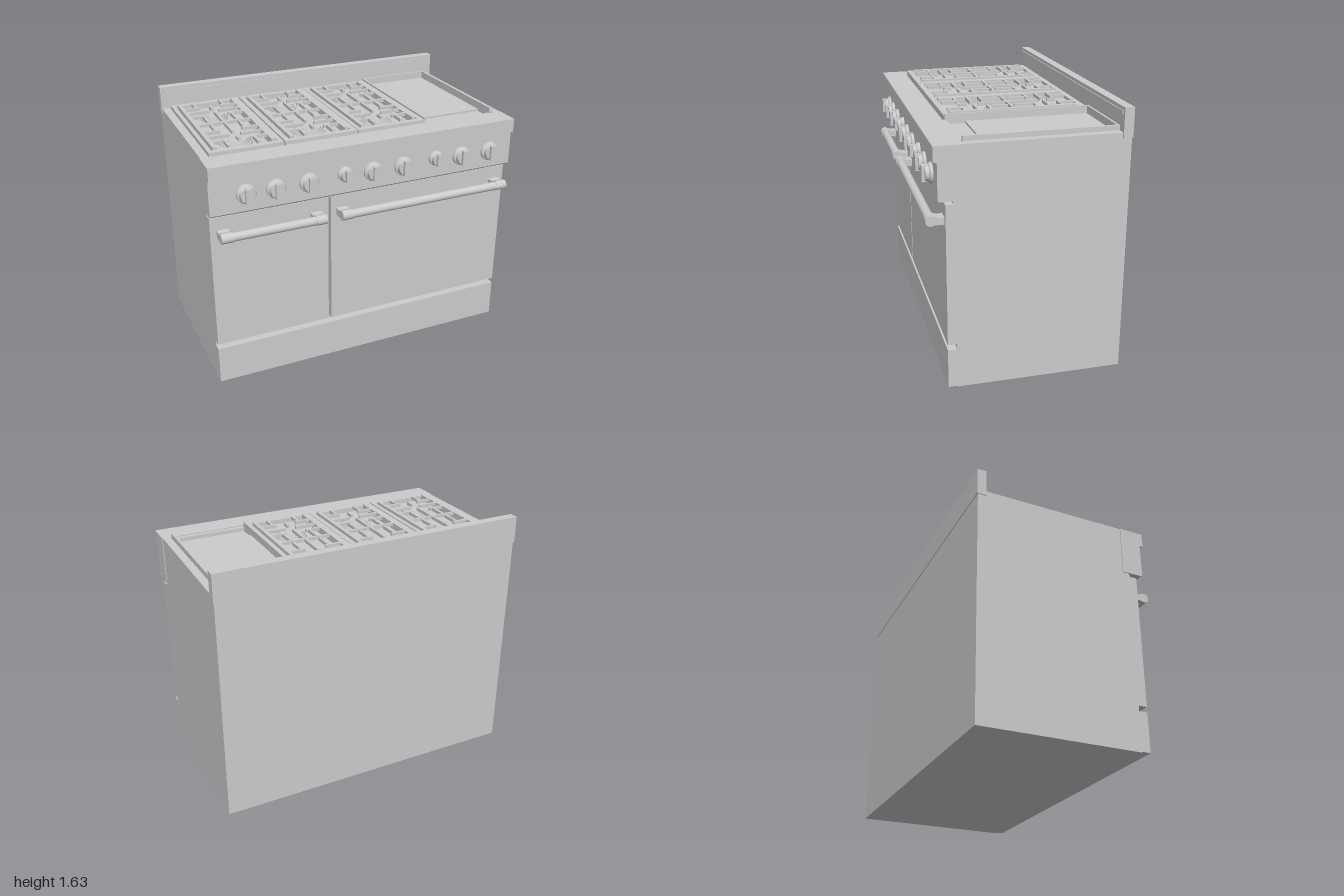
import * as THREE from 'three';

export function createModel() {
  const root = new THREE.Group();
  const mat = new THREE.MeshStandardMaterial({ color: 0xcccccc });

  const add = (name, geo, parent = root) => {
    const m = new THREE.Mesh(geo, mat);
    m.name = name;
    parent.add(m);
    return m;
  };
  // Box given by its minimum and maximum on each axis
  const box = (name, x0, x1, y0, y1, z0, z1, parent = root) => {
    const m = add(name, new THREE.BoxGeometry(x1 - x0, y1 - y0, z1 - z0), parent);
    m.position.set((x0 + x1) / 2, (y0 + y1) / 2, (z0 + z1) / 2);
    return m;
  };
  // Profile in (z, y), extruded along x
  const extrudeX = (name, pts, x0, x1, parent = root) => {
    const s = new THREE.Shape(pts.map(([z, y]) => new THREE.Vector2(-z, y)));
    const m = add(name, new THREE.ExtrudeGeometry(s, { depth: x1 - x0, bevelEnabled: false }), parent);
    m.rotation.y = Math.PI / 2;
    m.position.x = x0;
    return m;
  };
  // Flat rectangular ring lying in xz
  const ring = (name, o, i, y0, y1, parent = root) => {
    const rect = (C, [x0, x1, z0, z1]) => new C([[x0, -z0], [x1, -z0], [x1, -z1], [x0, -z1]]
      .map(p => new THREE.Vector2(...p)));
    const s = rect(THREE.Shape, o);
    s.holes.push(rect(THREE.Path, i));
    const m = add(name, new THREE.ExtrudeGeometry(s, { depth: y1 - y0, bevelEnabled: false }), parent);
    m.rotation.x = -Math.PI / 2;
    m.position.y = y0;
    return m;
  };

  // Cabinet, base rim and top edges
  box('cabinet', -0.995, 0.995, 0.012, 1.455, -0.585, 0.43);
  ring('baseRim', [-0.995, 0.995, -0.585, 0.43], [-0.95, 0.95, -0.55, 0.4], 0, 0.012);
  box('topEdgeRight', -0.995, -0.945, 1.455, 1.487, -0.53, 0.39);
  box('topEdgeLeft', 0.945, 0.995, 1.455, 1.487, -0.53, 0.39);

  // Backguard with a raised strip along the top
  box('backguard', -1, 1, 1.455, 1.63, -0.59, -0.532);
  box('backguardStrip', -0.98, 0.98, 1.588, 1.608, -0.532, -0.526);

  // Control panel with overhanging lip
  extrudeX('controlPanel', [[0.39, 1.17], [0.39, 1.487], [0.55, 1.487], [0.55, 1.4],
    [0.528, 1.39], [0.528, 1.18], [0.518, 1.17]], -1, 1);

  // Vent slots under the control panel
  box('ventStrip', -0.99, 0.99, 1.152, 1.17, 0.42, 0.442);
  for (let i = 0; i <= 56; i++) {
    const x = -0.86 + i * 0.03;
    box('ventFin', x, x + 0.015, 1.154, 1.17, 0.44, 0.5);
  }

  // Knobs: the two small ones are timers
  const knob = (x, r) => {
    const g = new THREE.Group();
    g.name = 'knob';
    const profile = [[0, 0], [r, 0], [r, 0.014], [r * 0.86, 0.02], [r * 0.8, 0.022],
      [r * 0.74, 0.042], [0, 0.042]].map(p => new THREE.Vector2(...p));
    // Each profile segment is lathed apart to keep its edges sharp
    for (let i = 1; i < profile.length - 1; i++)
      add('knobBody', new THREE.LatheGeometry([profile[i], profile[i + 1]], 32), g).rotation.x = Math.PI / 2;
    box('knobGrip', -r * 0.3, r * 0.3, -r * 0.78, r * 0.78, 0.03, 0.06, g);
    g.position.set(x, r < 0.05 ? 1.305 : 1.29, 0.528);
    root.add(g);
  };
  [-0.78, -0.6, -0.395, -0.165, 0.02, 0.225, 0.45, 0.635, 0.84]
    .forEach((x, i) => knob(x, i === 3 || i === 6 ? 0.047 : 0.06));

  // Doors and kick panel
  box('doorRight', -0.995, -0.254, 0.285, 1.148, 0.43, 0.485);
  box('doorLeft', -0.236, 0.995, 0.285, 1.148, 0.43, 0.485);
  box('kickPanel', -0.995, 0.995, 0.005, 0.25, 0.43, 0.485);

  // Door handles: round bar held in a bracket at each end
  const handle = (x0, x1) => {
    const g = new THREE.Group();
    g.name = 'doorHandle';
    const bar = add('handleBar', new THREE.CylinderGeometry(0.027, 0.027, x1 - x0, 24), g);
    bar.rotation.z = Math.PI / 2;
    bar.position.set((x0 + x1) / 2, 1.047, 0.56);
    const pts = [[0.48, 1.018], [0.48, 1.068], [0.515, 1.063]];
    for (let i = 0; i <= 10; i++) {
      const a = 2.2 - i * 0.44;
      pts.push([0.56 + 0.031 * Math.cos(a), 1.047 + 0.031 * Math.sin(a)]);
    }
    pts.push([0.515, 1.023]);
    extrudeX('handleBracket', pts, x0, x0 + 0.07, g);
    extrudeX('handleBracket', pts, x1 - 0.07, x1, g);
    root.add(g);
  };
  handle(-0.955, -0.3);
  handle(-0.2, 0.96);

  // Burner: stepped base and a domed cap
  const burner = (x, z, r) => {
    const g = new THREE.Group();
    g.name = 'burner';
    [[r, 0.012, 0], [r * 0.88, 0.012, 0.012], [r * 0.78, 0.01, 0.024]].forEach(([rad, h, y]) => {
      add('burnerStep', new THREE.CylinderGeometry(rad * 0.97, rad, h, 36), g).position.y = y + h / 2;
    });
    g.position.set(x, 1.456, z);
    root.add(g);
  };

  // Grate tray: rim, sunken floor, two burners and cast bars
  const tray = (x0, x1, cx) => {
    ring('trayRim', [x0, x1, -0.525, 0.375], [cx - 0.2, cx + 0.2, -0.49, 0.34], 1.455, 1.504);
    burner(cx, -0.305, 0.09);
    burner(cx, 0.15, 0.105);
    const g = new THREE.Group();
    g.name = 'grate';
    g.position.x = cx;
    root.add(g);
    const t = 0.008;
    const alongX = (z, a, b) => box('grateBar', a, b, 1.495, 1.516, z - t, z + t, g);
    const alongZ = (x, a, b) => box('grateBar', x - t, x + t, 1.495, 1.516, a, b, g);
    for (const s of [-1, 1]) {
      const out = s * 0.19, mid = s * 0.09;
      box('grateSide', Math.min(out, out - s * 0.025), Math.max(out, out - s * 0.025), 1.475, 1.516, -0.485, 0.335, g);
      // Fingers reaching in from the sides
      for (const z of [-0.385, -0.225, 0.07, 0.235])
        alongX(z, Math.min(out, mid * 0.75), Math.max(out, mid * 0.75));
      // Short lengthwise fingers
      for (const [a, b] of [[-0.48, -0.385], [-0.215, -0.095], [-0.055, 0.065], [0.24, 0.33]])
        alongZ(mid, a, b);
      // Cross bars pointing at each burner
      for (const [z, r] of [[-0.305, 0.03], [0.15, 0.035]])
        alongX(z, Math.min(out, s * r), Math.max(out, s * r));
    }
    alongX(-0.07, -0.19, 0.19);
    alongZ(0, -0.39, -0.335);
    alongZ(0, -0.275, 0.115);
    alongZ(0, 0.185, 0.24);
  };
  tray(-0.94, -0.487, -0.715);
  tray(-0.477, -0.012, -0.245);
  tray(-0.008, 0.447, 0.218);

  // Griddle: plate, front trough and low walls
  box('griddlePlate', 0.455, 0.925, 1.455, 1.468, -0.52, 0.25);
  box('griddleWallInner', 0.447, 0.458, 1.455, 1.516, -0.525, 0.375);
  box('griddleWallOuter', 0.925, 0.942, 1.455, 1.516, -0.525, 0.375);
  box('griddleWallBack', 0.447, 0.942, 1.455, 1.516, -0.532, -0.518);
  box('griddleFrontLip', 0.447, 0.942, 1.455, 1.48, 0.365, 0.39);

  return root;
}
